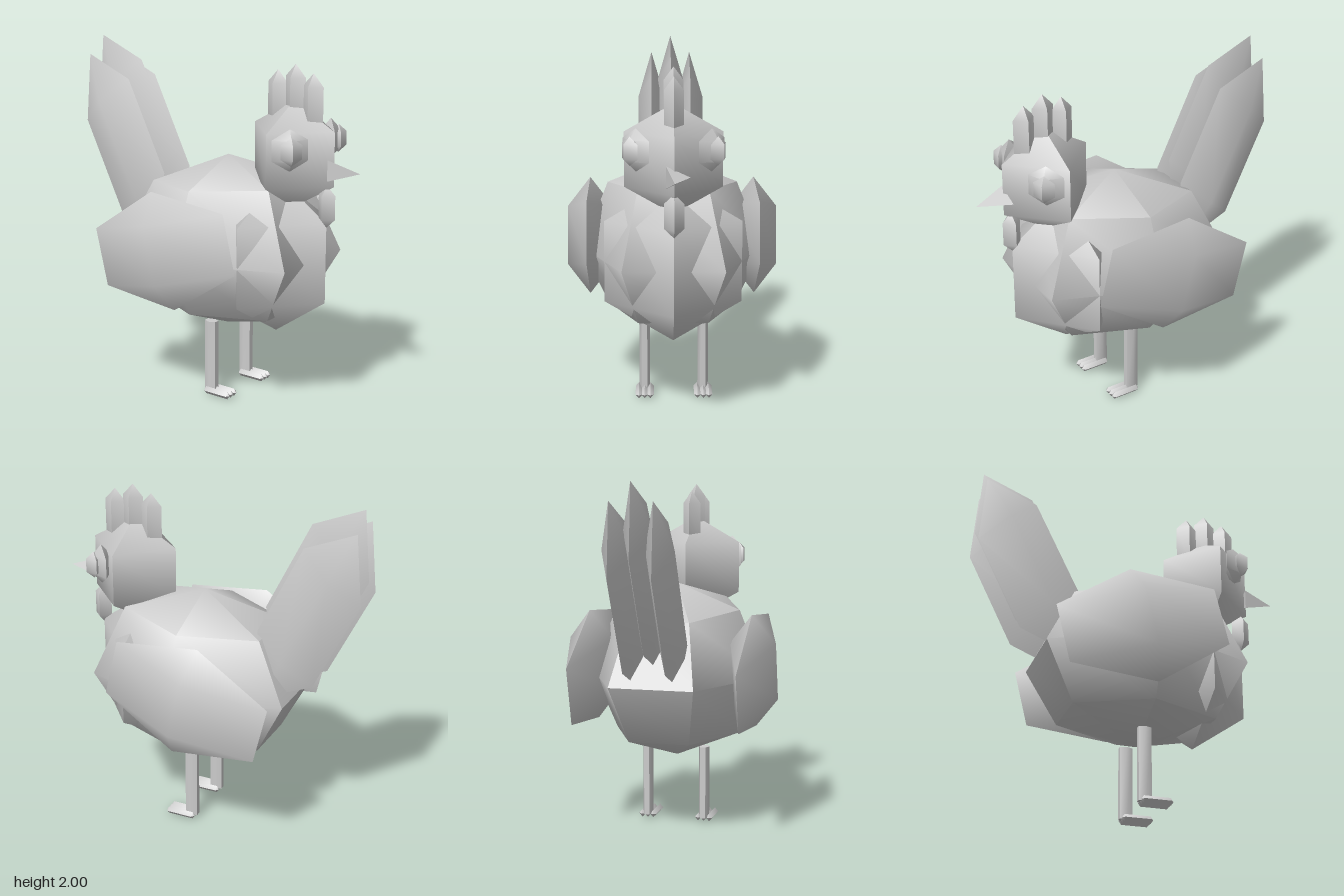
import * as THREE from 'three';
import { toCreasedNormals } from 'three/addons/utils/BufferGeometryUtils.js';

const plumage = new THREE.MeshStandardMaterial({ color: 0xcccccc });
plumage.name = 'plain grey';

const CREASE = 0.9;
const V = (x, y, z) => new THREE.Vector3(x, y, z);

export function createModel() {
  const model = new THREE.Group();
  model.name = 'chicken';

  const add = (name, geometry) => {
    const mesh = new THREE.Mesh(toCreasedNormals(geometry, CREASE), plumage);
    mesh.name = name;
    model.add(mesh);
  };

  // Four-sided pointed gem: v is the half axis to the tip, u and w the half widths,
  // k the share of the axis that stays straight
  const gem = (name, centre, u, v, w, k = 0.5) => {
    const profile = [[0, -1], [1, -k], [1, k], [0, 1]].map(([r, y]) => new THREE.Vector2(r, y));
    const geometry = new THREE.LatheGeometry(profile, 4);
    const matrix = new THREE.Matrix4().makeBasis(u, v, w).setPosition(centre);
    add(name, geometry.applyMatrix4(matrix));
  };

  // Body: six-sided ball, slightly wider and taller toward the chest
  const body = new THREE.SphereGeometry(1, 6, 4);
  const p = body.attributes.position;
  for (let i = 0; i < p.count; i++) {
    const y = p.getY(i), z = p.getZ(i) * 0.675;
    const lift = y > 0.1 ? 0.08 * z : Math.abs(y) < 0.1 ? -0.025 : 0;
    p.setXYZ(i, p.getX(i) * 0.52 * (1 + 0.13 * z), 0.895 + y * 0.505 + lift, z + 0.05);
  }
  add('body', body);

  // Chest and head
  gem('chest', V(0, 0.87, 0.39), V(0.38, 0, 0), V(0, 0.455, 0), V(0, 0, 0.325));
  gem('head', V(0, 1.46, 0.495), V(0.265, 0, 0), V(0, 0.3, 0), V(0, 0, 0.262));

  // Beak: three-sided cone pointing forward
  const beak = new THREE.ConeGeometry(0.085, 0.18, 3);
  beak.rotateX(Math.PI / 2).rotateZ(Math.PI / 2).scale(1, 0.8, 1).translate(0, 1.406, 0.83);
  add('beak', beak);

  // Comb and wattle
  for (const [z, top] of [[0.615, 1.915], [0.5, 1.955], [0.385, 1.915]]) {
    gem('comb', V(0, top - 0.2, z), V(0.052, 0, 0), V(0, 0.2, 0), V(0, 0, 0.065), 0.65);
  }
  gem('wattle', V(0, 1.195, 0.715), V(0.053, 0, 0), V(0, 0.118, 0), V(0, 0, 0.053), 0.57);

  // Tail feathers
  for (const side of [-1, 0, 1]) {
    gem('tailFeather', V(side * 0.118, side ? 1.376 : 1.476, -0.624),
      V(0.08, 0, 0), V(0, 0.523, -0.26), V(0, 0.14, 0.166));
  }

  for (const side of [-1, 1]) {
    // Wings
    gem('wing', V(side * 0.475, 0.918, -0.05),
      V(0.131, 0, 0), V(0, 0.328, -0.08), V(0, 0.116, 0.455));

    // Eyes with raised pupils, facing diagonally outward
    const out = V(side, 0, 1).normalize();
    const across = V(-1, 0, side).normalize();
    const eye = V(side * 0.2, 1.527, 0.603);
    gem('eye', eye, out.clone().multiplyScalar(0.05), V(0, 0.115, 0),
      across.clone().multiplyScalar(0.098));
    gem('pupil', eye.clone().addScaledVector(out, 0.045), out.clone().multiplyScalar(0.045),
      V(0, 0.078, 0), across.clone().multiplyScalar(0.058));

    // Legs and toes
    const x = side * 0.17 + 0.008;
    const leg = new THREE.CylinderGeometry(1, 1, 0.425, 6);
    leg.rotateY(Math.PI / 6).scale(0.031, 1, 0.043).translate(x, 0.2325, 0.05);
    add('leg', leg);
    for (const toe of [-1, 0, 1]) {
      gem('toe', V(x + toe * 0.033, 0.022, 0.112),
        V(0.02, 0, 0), V(0, 0, 0.092), V(0, -0.022, 0), 0.83);
    }
  }
  return model;
}
